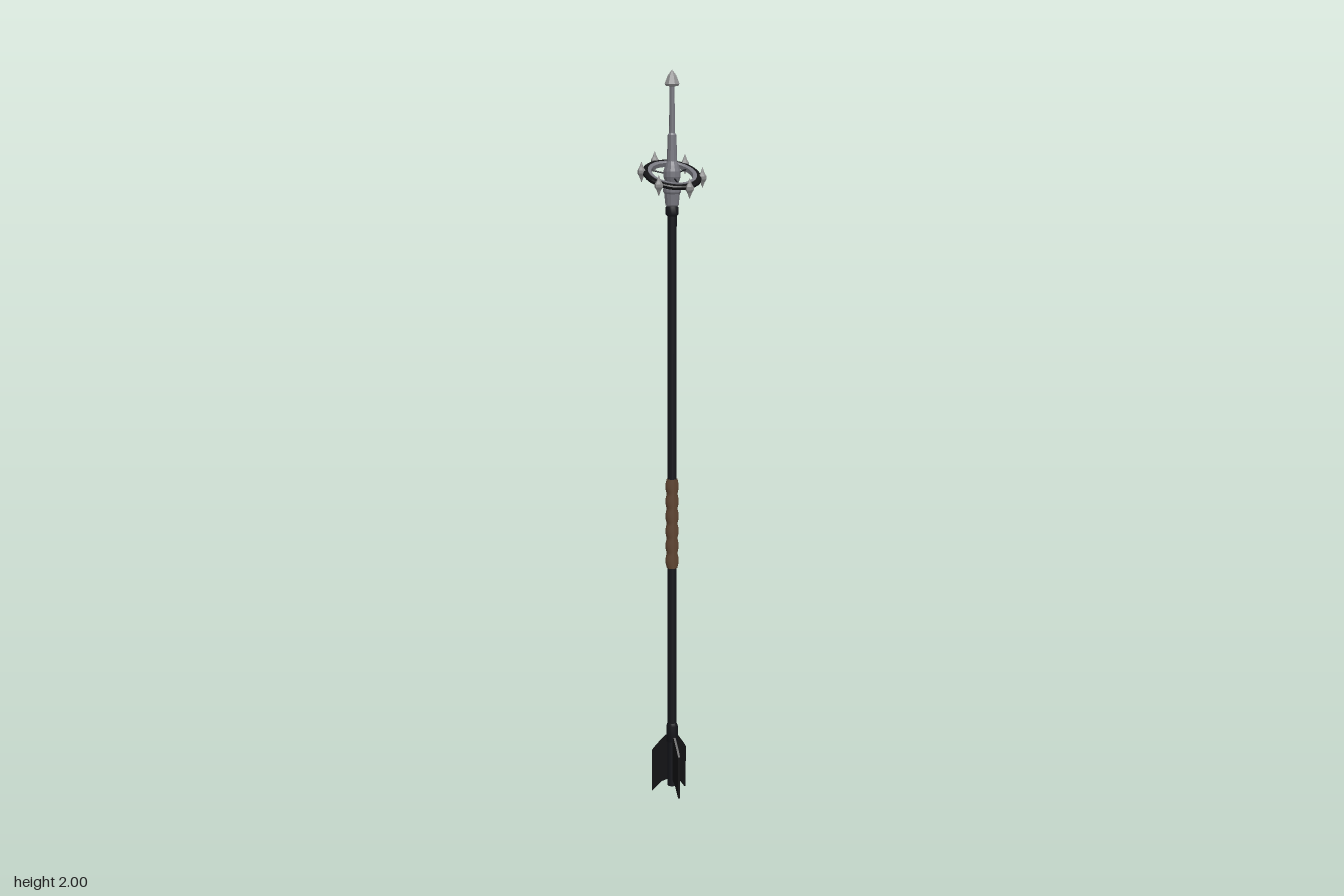
import * as THREE from 'three';

const mat = (color, flatShading = false) => new THREE.MeshStandardMaterial({ color, flatShading });
const black = mat(0x15161b), finBlack = mat(0x121214, true), leather = mat(0x5e4431);
const steel = mat(0x77777f, true), paleSteel = mat(0x8f8f8f, true);

function add(parent, name, geometry, material, y = 0) {
  const mesh = new THREE.Mesh(geometry, material);
  mesh.name = name;
  mesh.position.y = y;
  parent.add(mesh);
  return mesh;
}

// Revolve [radius, height] pairs, listed from bottom to top
const lathe = (points, sides) =>
  new THREE.LatheGeometry(points.map(([r, y]) => new THREE.Vector2(r, y)), sides);

export function createModel() {
  const model = new THREE.Group();
  model.name = 'spear';

  // Shaft with its end collars
  add(model, 'shaft', new THREE.CylinderGeometry(0.0125, 0.0125, 1.61, 16), black, 0.825);
  add(model, 'lowerCollar', lathe([[0, 0.15], [0.016, 0.15], [0.016, 0.195], [0.012, 0.205]], 16), black);
  add(model, 'upperCollar', lathe([[0.012, 1.615], [0.017, 1.62], [0.017, 1.64], [0.012, 1.645]], 16), black);

  // Grip with finger swells on its two sides
  const grip = new THREE.CylinderGeometry(0.0145, 0.0145, 0.25, 20, 50);
  const pos = grip.attributes.position;
  for (let i = 0; i < pos.count; i++) {
    const swell = Math.abs(Math.sin((pos.getY(i) / 0.25 + 0.5) * Math.PI * 6));
    pos.setX(i, pos.getX(i) * (1 + 0.28 * swell));
  }
  grip.computeVertexNormals();
  add(model, 'grip', grip, leather, 0.775);

  // Three swept fins at the foot
  const finShape = new THREE.Shape();
  [[0.008, 0.17], [0.02, 0.165], [0.046, 0.135], [0.057, 0.12], [0.057, 0], [0.03, 0.03], [0.008, 0.04]]
    .forEach(([x, y], i) => (i ? finShape.lineTo(x, y) : finShape.moveTo(x, y)));
  const finGeometry = new THREE.ExtrudeGeometry(finShape, { depth: 0.006, bevelEnabled: false });
  finGeometry.translate(0, 0, -0.003);
  for (let i = 0; i < 3; i++) {
    add(model, 'fin', finGeometry, finBlack).rotation.y = -Math.PI / 2 + i * Math.PI * 2 / 3;
  }

  // Head: socket, hub, stepped needle and point
  add(model, 'headSocket', lathe([
    [0.012, 1.64], [0.018, 1.645], [0.021, 1.675], [0.024, 1.68], [0.024, 1.688], [0.016, 1.695],
    [0.018, 1.705], [0.023, 1.72], [0.023, 1.735], [0.018, 1.75], [0.012, 1.765],
  ], 12), steel);
  add(model, 'needle', lathe([
    [0.014, 1.755], [0.0115, 1.83], [0.008, 1.835], [0.0065, 1.96],
  ], 10), steel);
  add(model, 'point', lathe([[0, 1.956], [0.017, 1.957], [0.021, 1.963], [0.012, 1.985], [0, 2]], 8), paleSteel);

  // Tilted ring around the hub
  const ring = new THREE.Group();
  ring.name = 'ring';
  ring.position.y = 1.725;
  ring.rotation.x = THREE.MathUtils.degToRad(24);
  model.add(ring);
  add(ring, 'outerRing', lathe([
    [0.064, -0.006], [0.076, -0.006], [0.079, -0.003], [0.079, 0.003], [0.076, 0.006], [0.064, 0.006], [0.064, -0.006],
  ], 40), finBlack);
  add(ring, 'innerRing', lathe([
    [0.056, -0.006], [0.06, -0.008], [0.066, -0.008], [0.066, 0.008], [0.06, 0.008], [0.056, 0.006], [0.056, -0.006],
  ], 40), steel);

  // Three spokes joining ring and hub
  const spoke = new THREE.CylinderGeometry(0.002, 0.002, 0.045, 8);
  spoke.rotateZ(Math.PI / 2).translate(0.036, 0, 0);
  for (let i = 0; i < 3; i++) {
    add(ring, 'spoke', spoke, black).rotation.y = -Math.PI / 2 + i * Math.PI * 2 / 3;
  }

  // Six upright double spikes set on the ring's rim
  const spike = lathe([[0, -0.028], [0.006, -0.012], [0.011, -0.004], [0.011, 0.004], [0.006, 0.012], [0, 0.028]], 6);
  for (let i = 0; i < 6; i++) {
    const a = (14 + 60 * i) * Math.PI / 180;
    const mesh = add(ring, 'spike', spike, paleSteel);
    mesh.position.set(Math.cos(a) * 0.082, 0, Math.sin(a) * 0.082);
    mesh.rotation.x = -ring.rotation.x;
  }
  return model;
}
